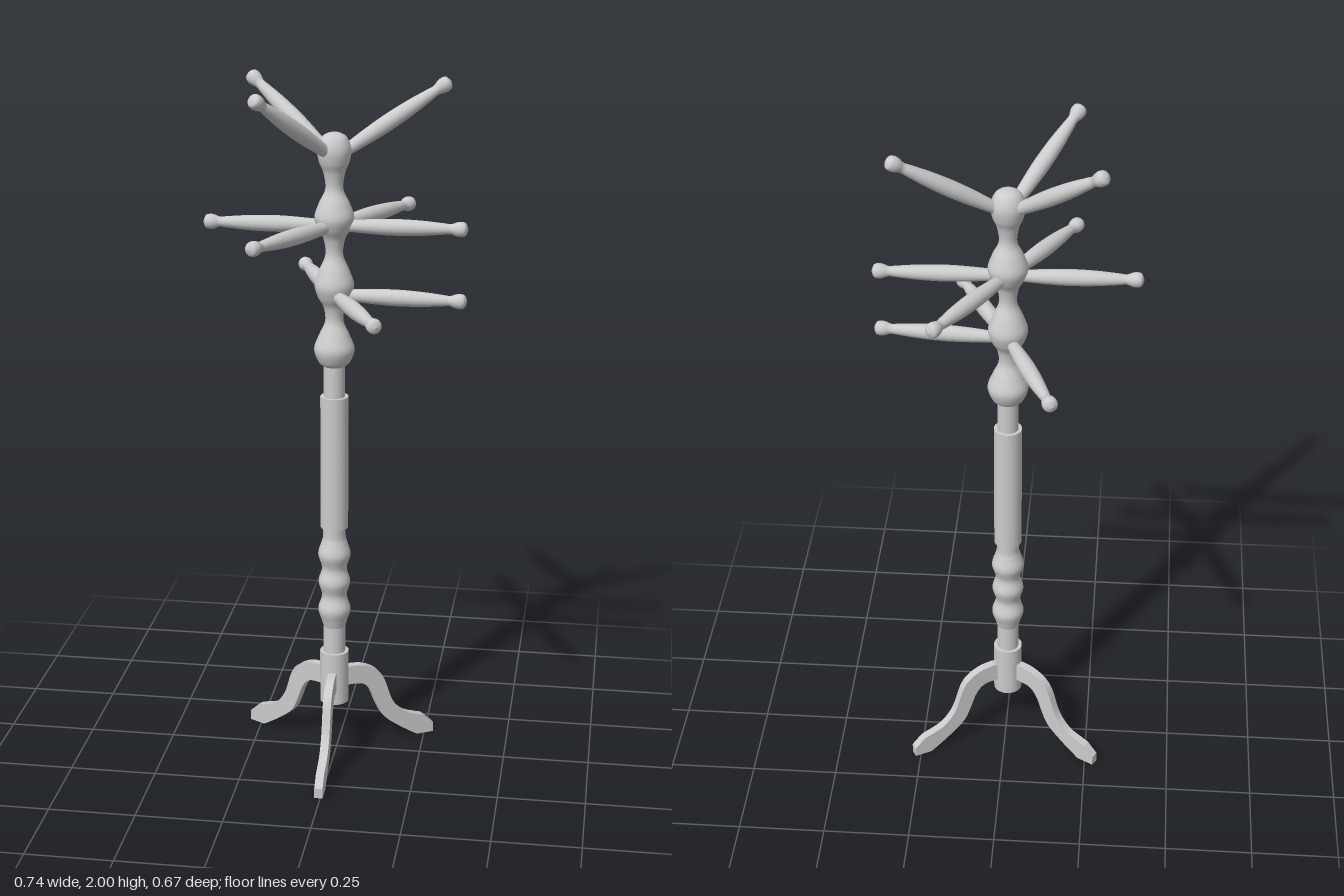
import * as THREE from 'three';

const material = new THREE.MeshStandardMaterial({ color: 0xcccccc });

function add(parent, name, geometry) {
  const mesh = new THREE.Mesh(geometry, material);
  mesh.name = name;
  parent.add(mesh);
  return mesh;
}

// Smooth turned shape from [radius, height] points, bottom to top
function turned(points, steps, sides) {
  const curve = new THREE.SplineCurve(points.map(([r, y]) => new THREE.Vector2(r, y)));
  const profile = curve.getPoints(steps);
  profile.forEach((p) => { p.x = Math.max(p.x, 0); });
  return new THREE.LatheGeometry(profile, sides);
}

function cylinder(parent, name, radius, bottom, top) {
  const mesh = add(parent, name, new THREE.CylinderGeometry(radius, radius, top - bottom, 32));
  mesh.position.y = (bottom + top) / 2;
}

export function createModel() {
  const stand = new THREE.Group();
  stand.name = 'coatStand';
  stand.position.set(-0.005, 0, 0.01);

  // Central column
  cylinder(stand, 'legHub', 0.042, 0.16, 0.32);
  cylinder(stand, 'lowerShaft', 0.032, 0.31, 0.42);
  add(stand, 'beadedTurning', turned([
    [0.032, 0.4], [0.038, 0.42], [0.047, 0.455], [0.036, 0.497], [0.046, 0.54],
    [0.036, 0.582], [0.047, 0.625], [0.038, 0.66], [0.033, 0.68], [0.033, 0.715],
  ], 72, 32));
  cylinder(stand, 'grip', 0.04, 0.71, 1.105);
  cylinder(stand, 'upperShaft', 0.03, 1.1, 1.21);
  add(stand, 'knobbedTurning', turned([
    [0.03, 1.195], [0.045, 1.208], [0.057, 1.245], [0.043, 1.285], [0.026, 1.325],
    [0.03, 1.365], [0.046, 1.395], [0.055, 1.43], [0.043, 1.47], [0.025, 1.515],
    [0.03, 1.56], [0.046, 1.59], [0.055, 1.622], [0.043, 1.66], [0.025, 1.7],
    [0.03, 1.745], [0.042, 1.775], [0.047, 1.81], [0.036, 1.841], [0.018, 1.854], [0, 1.857],
  ], 140, 32));

  // Pegs: [base height, tip x, tip rise, tip z]
  const pegGeometry = turned([
    [0, 0], [0.015, 0.01], [0.017, 0.05], [0.021, 0.11], [0.023, 0.17], [0.021, 0.24],
    [0.016, 0.3], [0.014, 0.322], [0.019, 0.337], [0.021, 0.35], [0.017, 0.363], [0, 0.37],
  ], 64, 20);
  const pegs = [
    [1.785, 0.305, 0.2, -0.117], [1.785, -0.263, 0.2, -0.165], [1.785, -0.182, 0.2, 0.25],
    [1.598, -0.367, 0, 0], [1.598, 0.37, 0, 0],
    [1.598, -0.182, 0, 0.317], [1.598, 0.182, 0, -0.317],
    [1.402, -0.14, 0, -0.345], [1.402, 0.158, 0, 0.324], [1.402, 0.373, 0, 0.029],
  ];
  const up = new THREE.Vector3(0, 1, 0);
  for (const [y, dx, dy, dz] of pegs) {
    const direction = new THREE.Vector3(dx, dy, dz);
    const peg = add(stand, 'peg', pegGeometry);
    peg.position.y = y;
    peg.scale.y = direction.length() / 0.37;
    peg.quaternion.setFromUnitVectors(up, direction.normalize());
  }

  // Three flat, S-curved legs
  const vectors = (list) => list.map(([x, y]) => new THREE.Vector2(x, y));
  const outline = new THREE.Shape();
  outline.moveTo(0.02, 0.26);
  outline.lineTo(0.05, 0.263);
  outline.splineThru(vectors([
    [0.09, 0.258], [0.13, 0.238], [0.155, 0.205], [0.178, 0.14], [0.2, 0.105], [0.23, 0.08], [0.286, 0.06],
  ]));
  outline.lineTo(0.318, 0.03);
  outline.lineTo(0.318, 0);
  outline.lineTo(0.265, 0);
  outline.splineThru(vectors([
    [0.207, 0.038], [0.156, 0.08], [0.132, 0.125], [0.112, 0.173], [0.085, 0.2], [0.04, 0.205],
  ]));
  outline.lineTo(0.02, 0.205);
  const thickness = 0.024;
  const legGeometry = new THREE.ExtrudeGeometry(outline, {
    depth: thickness, bevelEnabled: false, curveSegments: 4,
  });
  legGeometry.translate(0, 0, -thickness / 2);
  for (const degrees of [-90, 30, 150]) {
    add(stand, 'leg', legGeometry).rotation.y = THREE.MathUtils.degToRad(degrees);
  }

  const model = new THREE.Group();
  model.name = 'model';
  model.add(stand);
  return model;
}
